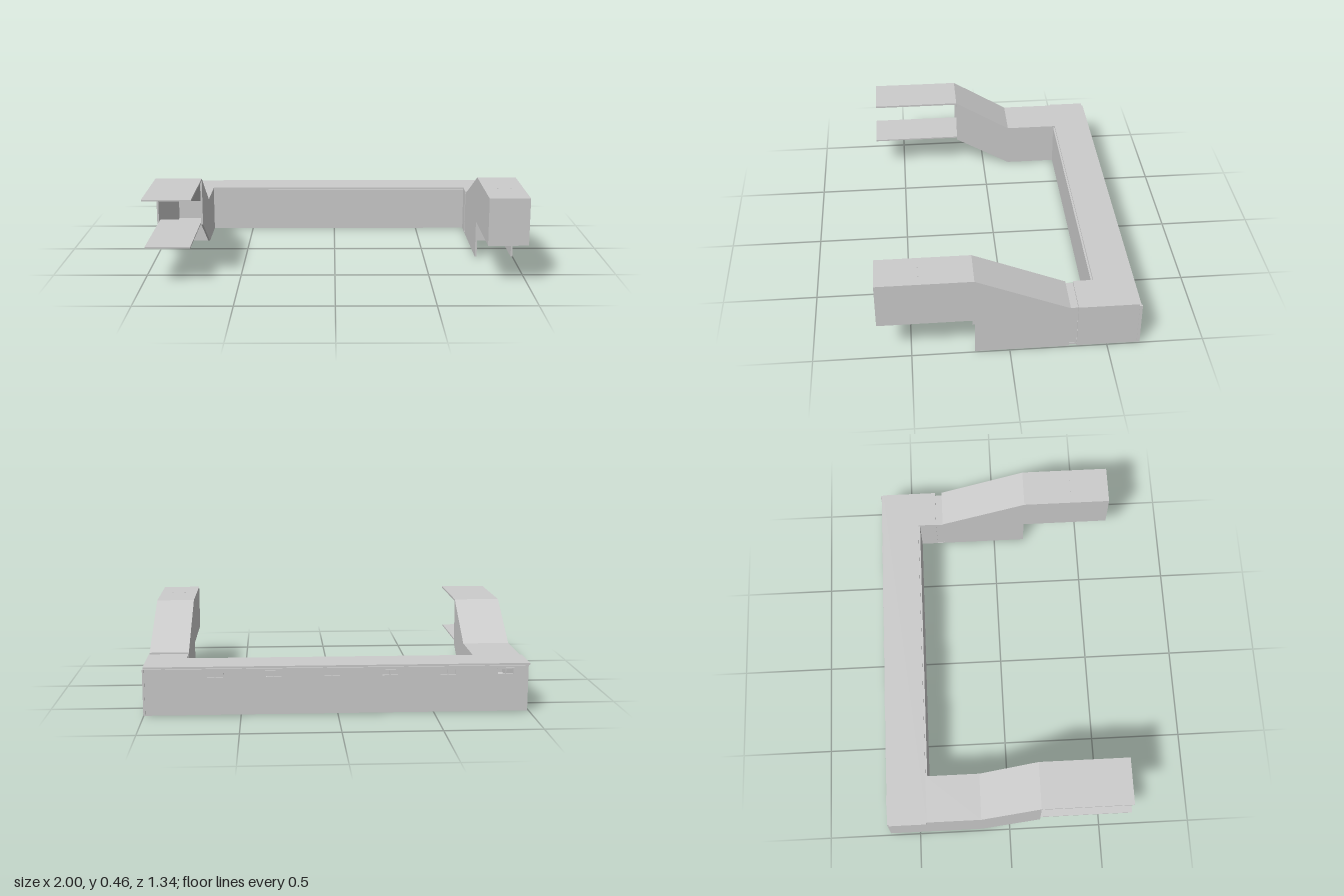
import * as THREE from 'three';

const T = 0.01; // wall thickness

export function createModel() {
  const model = new THREE.Group();
  const mat = new THREE.MeshStandardMaterial({ color: 0xcccccc, flatShading: true, side: THREE.DoubleSide });

  const add = (parent, name, geo) => {
    const m = new THREE.Mesh(geo, mat);
    m.name = name;
    parent.add(m);
    return m;
  };
  const box = (parent, name, x0, x1, y0, y1, z0, z1) =>
    add(parent, name, new THREE.BoxGeometry(x1 - x0, y1 - y0, z1 - z0)
      .translate((x0 + x1) / 2, (y0 + y1) / 2, (z0 + z1) / 2));
  // Side profile given as [z, y] points, extruded from x0 to x1
  const profile = (parent, name, pts, x0, x1) => {
    const shape = new THREE.Shape(pts.map(([z, y]) => new THREE.Vector2(z, y)));
    const geo = new THREE.ExtrudeGeometry(shape, { depth: x1 - x0, bevelEnabled: false });
    return add(parent, name, geo.rotateY(-Math.PI / 2).translate(x1, 0, 0));
  };
  // Bent plate following a [z, y] top line
  const plate = (parent, name, top, x0, x1) =>
    profile(parent, name, [...top, ...top.map(([z, y]) => [z, y - T]).reverse()], x0, x1);
  // Thin folded flight of steps
  const stairs = (parent, x0, x1, z0, z1, y0, y1, n = 7) => {
    const top = [[z0, y0]];
    for (let i = 0; i < n; i++) {
      const z = z0 + ((z1 - z0) * i) / n, y = y0 + ((y1 - y0) * (i + 1)) / n;
      top.push([z, y], [z + (z1 - z0) / n, y]);
    }
    const under = top.map(([z, y]) => [z + 0.006, y - 0.006]).reverse();
    profile(parent, 'stairs', [...top, ...under], x0, x1);
  };
  const group = (name) => {
    const g = new THREE.Group();
    g.name = name;
    model.add(g);
    return g;
  };

  // Long corridor
  const corridor = group('corridor');
  box(corridor, 'corridorFloor', -0.99, 0.998, 0.004, 0.012, -0.665, -0.44);
  box(corridor, 'corridorRoof', -1, 0.998, 0.246, 0.256, -0.655, -0.45);
  box(corridor, 'frontWall', -0.735, 0.79, 0.004, 0.246, -0.45, -0.44);
  box(corridor, 'rightEndWall', -0.99, -0.98, 0.004, 0.246, -0.655, -0.44);
  box(corridor, 'leftEndWall', 0.988, 0.998, 0.004, 0.246, -0.655, -0.345);
  box(corridor, 'cornerPost', 0.99, 1, 0.004, 0.246, -0.67, -0.655);
  [[-0.11, -0.46], [0.43, -0.63]].forEach(([x, z]) =>
    box(corridor, 'drain', x - 0.008, x + 0.008, 0, 0.006, z - 0.008, z + 0.008));

  // Back wall with window openings
  const windowX = [-0.87, -0.57, -0.27, 0.03, 0.33, 0.63];
  const [w, wy0, wy1] = [0.045, 0.198, 0.234];
  const wall = new THREE.Shape([[-0.99, 0.004], [0.998, 0.004], [0.998, 0.246], [-0.99, 0.246]]
    .map((p) => new THREE.Vector2(...p)));
  windowX.forEach((x) => wall.holes.push(new THREE.Path(
    [[x - w, wy0], [x - w, wy1], [x + w, wy1], [x + w, wy0]].map((p) => new THREE.Vector2(...p)))));
  add(corridor, 'backWall', new THREE.ExtrudeGeometry(wall, { depth: T, bevelEnabled: false })
    .translate(0, 0, -0.665));

  // Window frames with one mullion
  windowX.forEach((x) => {
    const frame = new THREE.Group();
    frame.name = 'windowFrame';
    corridor.add(frame);
    const [za, zb, f] = [-0.668, -0.656, 0.005];
    [x - w, x - f / 2, x + w - f].forEach((bx) => box(frame, 'windowUpright', bx, bx + f, wy0, wy1, za, zb));
    [wy0, wy1 - f].forEach((by) => box(frame, 'windowRail', x - w, x + w, by, by + f, za, zb));
  });

  // Right entrance: walled stair flight, then an open landing under a flat canopy
  const right = group('rightEntrance');
  const rightWall = [[-0.44, 0.004], [-0.155, 0.004], [0.165, 0.19], [0.165, 0.446],
    [-0.155, 0.246], [-0.44, 0.246]];
  [-0.99, -0.745].forEach((x) => profile(right, 'sideWall', rightWall, x, x + T));
  box(right, 'entranceFloor', -0.98, -0.745, 0.004, 0.012, -0.44, -0.155);
  plate(right, 'canopyRoof', [[-0.45, 0.256], [-0.155, 0.256], [0.165, 0.452], [0.655, 0.452]], -0.99, -0.735);
  stairs(right, -0.98, -0.745, -0.155, 0.165, 0.012, 0.205);
  box(right, 'landingFloor', -0.98, -0.745, 0.197, 0.205, 0.16, 0.668);

  // Left entrance: short passage, recessed joint, then a closed raised landing
  const left = group('leftEntrance');
  const [lx0, lx1] = [0.787, 0.998];
  box(left, 'passageFloor', lx0, lx1 - T, 0.004, 0.012, -0.44, -0.155);
  box(left, 'passageRoof', lx0, lx1, 0.246, 0.256, -0.45, -0.345);
  box(left, 'passageInnerWall', lx0, lx0 + T, 0.004, 0.246, -0.45, -0.345);
  box(left, 'jointRoof', lx0 + 0.003, 0.985, 0.236, 0.246, -0.345, -0.305);
  box(left, 'jointInnerWall', lx0 + 0.003, lx0 + T, 0.004, 0.246, -0.345, -0.305);
  box(left, 'jointOuterWall', 0.977, 0.985, 0.004, 0.246, -0.345, -0.305);
  const leftWall = [[-0.305, 0.004], [0.177, 0.004], [0.177, 0.21], [0.668, 0.21],
    [0.668, 0.458], [0.177, 0.458], [-0.305, 0.252]];
  [lx0, lx1 - T].forEach((x) => profile(left, 'sideWall', leftWall, x, x + T));
  plate(left, 'slopedRoof', [[-0.305, 0.256], [0.177, 0.46], [0.668, 0.46]], lx0, lx1);
  stairs(left, lx0 + T, lx1 - T, -0.155, 0.177, 0.012, 0.218);
  box(left, 'landingFloor', lx0 + T, lx1 - T, 0.21, 0.218, 0.17, 0.668);
  box(left, 'landingEndWall', lx0 + T, lx1 - T, 0.21, 0.455, 0.658, 0.668);
  [0.86, 0.93].forEach((x) => box(left, 'roofVent', x - 0.003, x + 0.003, 0.458, 0.463, 0.447, 0.453));

  return model;
}
